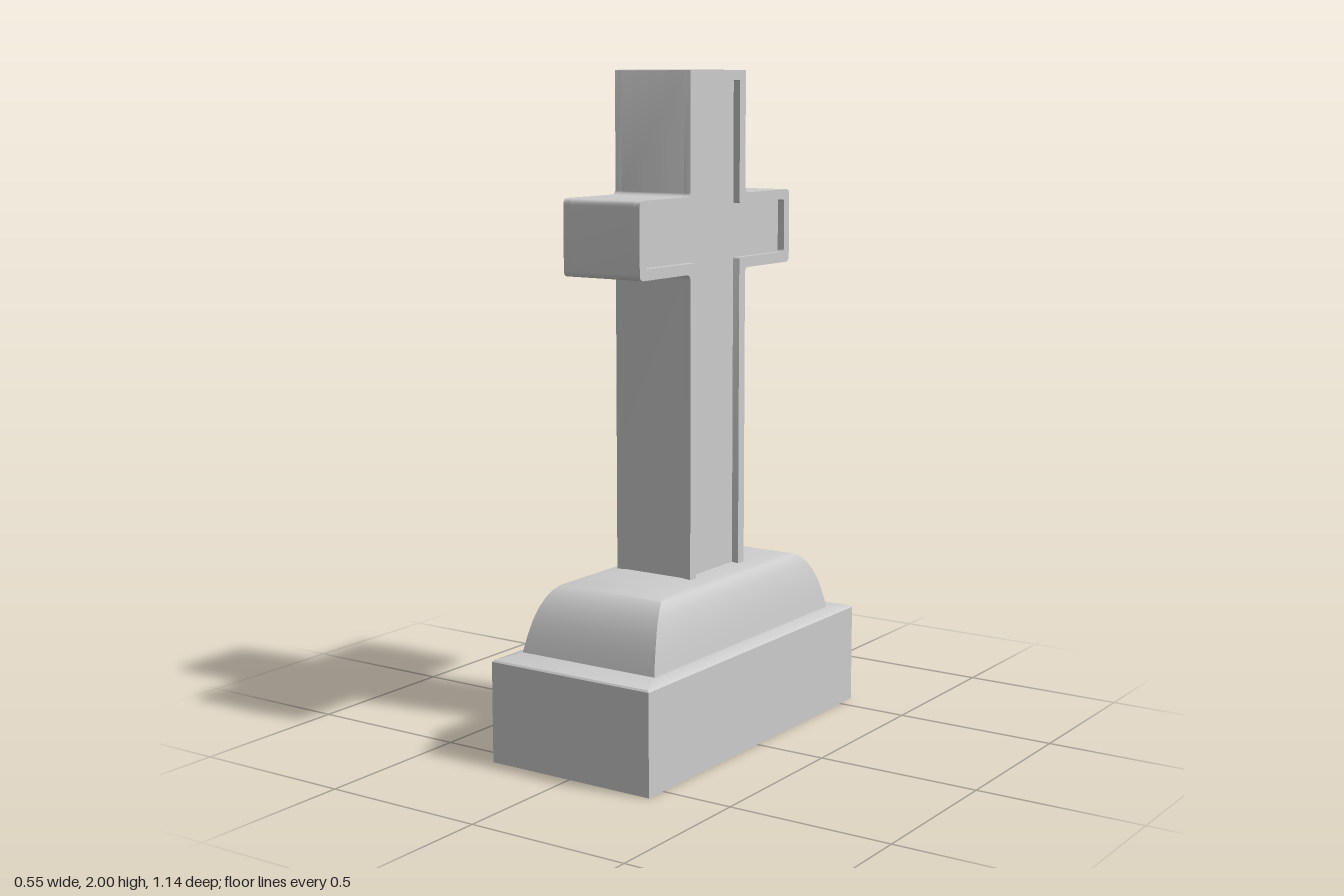
import * as THREE from 'three';
import { toCreasedNormals } from 'three/addons/utils/BufferGeometryUtils.js';

const stone = new THREE.MeshStandardMaterial({ color: 0xcccccc });

// Stack of rectangles [halfX, halfZ, y], bottom to top, closed at both ends
function rectLoft(rings) {
  const positions = [], index = [];
  for (const [x, z, y] of rings) positions.push(x, y, z, x, y, -z, -x, y, -z, -x, y, z);
  for (let r = 0; r < rings.length - 1; r++) {
    for (let i = 0; i < 4; i++) {
      const a = r * 4 + i, b = r * 4 + (i + 1) % 4;
      index.push(a, b, b + 4, a, b + 4, a + 4);
    }
  }
  const t = (rings.length - 1) * 4;
  index.push(0, 2, 1, 0, 3, 2, t, t + 1, t + 2, t, t + 2, t + 3);
  const geometry = new THREE.BufferGeometry();
  geometry.setAttribute('position', new THREE.Float32BufferAttribute(positions, 3));
  geometry.setIndex(index);
  return toCreasedNormals(geometry, 0.6);
}

// Symmetric cross outline; corners around the arms are rounded by radius r
function crossOutline(path, { shaft, arm, bottom, armLow, armHigh, top, r }) {
  const half = [
    [shaft, bottom, 0], [shaft, armLow, r], [arm, armLow, r],
    [arm, armHigh, r], [shaft, armHigh, r], [shaft, top, r * 0.2],
  ];
  const corners = [...half, ...half.map(([x, y, c]) => [-x, y, c]).reverse()];
  const n = corners.length;
  corners.forEach(([x, y, c], i) => {
    const p = new THREE.Vector2(x, y);
    const toward = ([u, v]) => new THREE.Vector2(u, v).sub(p).setLength(c).add(p);
    const a = toward(corners[(i + n - 1) % n]), b = toward(corners[(i + 1) % n]);
    if (i === 0) path.moveTo(a.x, a.y);
    else path.lineTo(a.x, a.y);
    if (c > 0) path.quadraticCurveTo(x, y, b.x, b.y);
  });
  path.closePath();
  return path;
}

// Extrude a shape drawn in the z-y plane from x0 to x1
function slab(shape, x0, x1) {
  const geometry = new THREE.ExtrudeGeometry(shape, { depth: x1 - x0, bevelEnabled: false, curveSegments: 4 });
  geometry.rotateY(Math.PI / 2).translate(x0, 0, 0);
  return toCreasedNormals(geometry, 0.6);
}

export function createModel() {
  const model = new THREE.Group();
  model.name = 'stoneCross';
  const add = (name, geometry) => {
    const mesh = new THREE.Mesh(geometry, stone);
    mesh.name = name;
    model.add(mesh);
  };

  // Block at the bottom with a slightly sloping top
  add('plinth', rectLoft([
    [0.277, 0.57, 0], [0.277, 0.57, 0.303], [0.272, 0.565, 0.308], [0.232, 0.478, 0.318],
  ]));

  // Rounded, hipped mound
  add('mound', rectLoft([
    [0.236, 0.484, 0.305], [0.232, 0.477, 0.33], [0.226, 0.465, 0.37], [0.219, 0.45, 0.41],
    [0.21, 0.432, 0.445], [0.201, 0.412, 0.472], [0.191, 0.39, 0.492], [0.18, 0.368, 0.504],
    [0.165, 0.335, 0.51], [0.132, 0.27, 0.516], [0.1, 0.15, 0.519],
  ]));

  // Cross: a core with a raised rim on both broad faces
  const outer = { shaft: 0.147, arm: 0.4, bottom: 0.46, armLow: 1.417, armHigh: 1.64, top: 2, r: 0.018 };
  const inner = { shaft: 0.115, arm: 0.37, bottom: 0.48, armLow: 1.449, armHigh: 1.61, top: 1.97, r: 0.008 };
  const halfWidth = 0.132, panel = 0.11;
  add('crossCore', slab(crossOutline(new THREE.Shape(), outer), -panel, panel));

  const rim = crossOutline(new THREE.Shape(), outer);
  rim.holes.push(crossOutline(new THREE.Path(), inner));
  add('leftRim', slab(rim, panel, halfWidth));
  add('rightRim', slab(rim, -halfWidth, -panel));

  return model;
}
